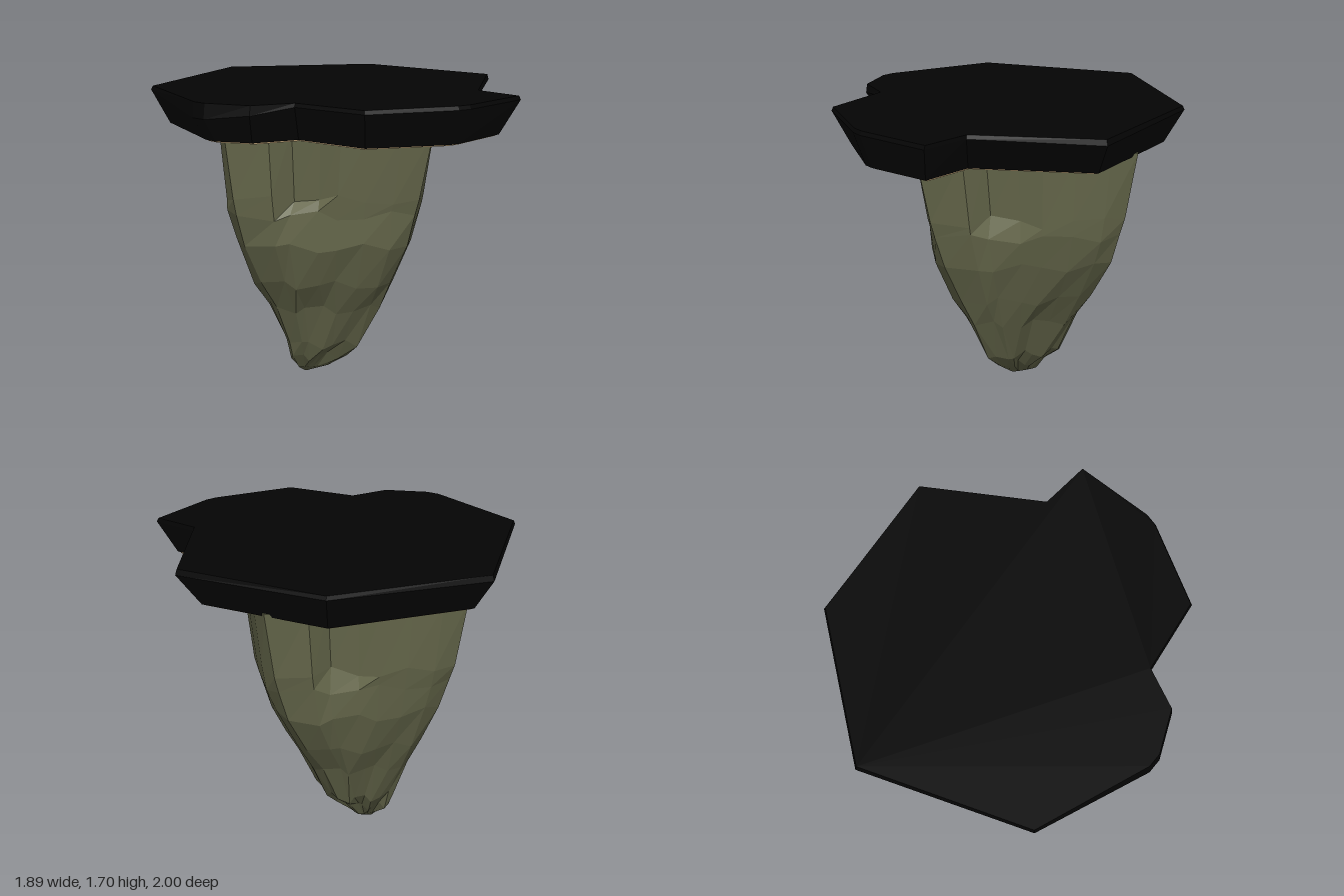
import * as THREE from 'three';

// Rings run counterclockwise seen from above, listed from bottom to top.
function loft(rings) {
  const n = rings[0].length;
  const index = [];
  for (let r = 0; r < rings.length - 1; r++) {
    for (let i = 0; i < n; i++) {
      const j = (i + 1) % n;
      const a = r * n + i, b = r * n + j;
      index.push(a, b, b + n, a, b + n, a + n);
    }
  }
  const cap = (ring, base, flip) => {
    const outline = ring.map(([x, , z]) => new THREE.Vector2(x, -z));
    for (const [a, b, c] of THREE.ShapeUtils.triangulateShape(outline, [])) {
      index.push(base + a, base + (flip ? c : b), base + (flip ? b : c));
    }
  };
  cap(rings[0], 0, true);
  cap(rings.at(-1), (rings.length - 1) * n, false);
  const indexed = new THREE.BufferGeometry();
  indexed.setAttribute('position', new THREE.Float32BufferAttribute(rings.flat(2), 3));
  indexed.setIndex(index);
  const geometry = indexed.toNonIndexed();
  geometry.computeVertexNormals();
  return geometry;
}

// Slab outline: rim x, z, then underside x, z, then rim height
const OUTLINE = [
  [0.09, -1.0, 0.08, -0.89, 1.67],
  [-0.755, -0.645, -0.69, -0.57, 1.68],
  [-0.95, -0.03, -0.87, -0.03, 1.62],
  [-0.945, 0.05, -0.87, 0.04, 1.62],
  [-0.835, 0.27, -0.77, 0.21, 1.65],
  [-0.62, 0.36, -0.54, 0.30, 1.68],
  [-0.54, 0.765, -0.47, 0.70, 1.68],
  [-0.11, 0.985, -0.10, 0.92, 1.68],
  [-0.04, 1.0, -0.04, 0.93, 1.68],
  [0.385, 0.975, 0.31, 0.90, 1.68],
  [0.39, 0.70, 0.31, 0.61, 1.68],
  [0.945, 0.31, 0.84, 0.24, 1.67],
  [0.805, -0.515, 0.72, -0.46, 1.68],
];

// Rock sections: height, front x z, left x z, back x z, right x z, swelling, groove depth
const SECTIONS = [
  [0.06, 0.01, -0.05, 0.07, -0.19, -0.02, -0.25, -0.15, -0.14, 0.10, 0],
  [0.15, 0.06, 0.06, 0.14, -0.18, 0.00, -0.345, -0.215, -0.12, 0.12, 0],
  [0.24, 0.06, 0.15, 0.25, -0.17, 0.01, -0.385, -0.245, -0.11, 0.14, 0],
  [0.48, 0.05, 0.31, 0.37, -0.16, 0.02, -0.48, -0.35, -0.10, 0.18, 0],
  [0.65, 0.04, 0.40, 0.50, -0.15, 0.03, -0.57, -0.47, -0.09, 0.17, 0],
  [0.88, 0.04, 0.52, 0.64, -0.14, 0.04, -0.68, -0.59, -0.08, 0.14, 0.02],
  [1.06, 0.03, 0.58, 0.70, -0.13, 0.04, -0.74, -0.65, -0.07, 0.12, 0.05],
  [1.15, 0.03, 0.61, 0.73, -0.13, 0.05, -0.775, -0.67, -0.07, 0.10, 0.16],
  [1.52, 0.03, 0.70, 0.80, -0.13, 0.05, -0.84, -0.725, -0.07, 0.07, 0.14],
];

// Across each of the four rock faces: positions, share of swelling, share of groove
const STEPS = [0, 0.22, 0.3, 0.46, 0.56, 0.7, 0.85];
const SWELL = [0, 0.65, 0.8, 0.95, 1, 0.95, 0.75];
const GROOVE = [0, 0, 1, 0.6, 0, 0, 0];
// Swelling of each face for the foot, the middle and the shoulder
const STRENGTH = [[1, 1, 1, 2.4], [1, 1, 1.1, 1.1], [1.3, 1, 1.4, 0.5]];

function rockRing([y, ...c], level) {
  const cx = (c[2] + c[6]) / 2, cz = (c[1] + c[5]) / 2;
  const strength = STRENGTH[Math.floor(level / 3)];
  const ring = [];
  for (let side = 0; side < 4; side++) {
    const a = side * 2, b = ((side + 1) % 4) * 2;
    STEPS.forEach((t, k) => {
      const x = c[a] + (c[b] - c[a]) * t, z = c[a + 1] + (c[b + 1] - c[a + 1]) * t;
      const inner = k > 0 && level > 0 && level < SECTIONS.length - 1;
      // small repeatable unevenness
      const wobble = inner ? Math.sin(side * 7.3 + k * 1.9 + level * 4.1) : 0;
      const f = 1 + SWELL[k] * c[8] * strength[side] - GROOVE[k] * c[9] + wobble * 0.01;
      ring.push([cx + (x - cx) * f, y + wobble * 0.03, cz + (z - cz) * f]);
    });
  }
  return ring;
}

export function createModel() {
  const flat = (name, color) => {
    const material = new THREE.MeshStandardMaterial({ color });
    material.name = name;
    return material;
  };
  const black = flat('black', 0x040404);
  const earth = flat('earth brown', 0xae956e);
  const stone = flat('olive stone', 0x67694c);

  const group = new THREE.Group();
  group.name = 'floatingIsland';
  const add = (name, geometry, material) => {
    const mesh = new THREE.Mesh(geometry, material);
    mesh.name = name;
    group.add(mesh);
  };

  // Slab with a bevelled side
  add('topSlab', loft([
    OUTLINE.map(([, , x, z]) => [x, 1.5, z]),
    OUTLINE.map(([x, z, , , y]) => [x, y, z]),
    OUTLINE.map(([x, z]) => [x * 0.99, 1.7, z * 0.99]),
  ]), black);

  // Thin earth layer under the slab
  add('earthUnderside', loft([1.492, 1.501].map((y) =>
    OUTLINE.map(([, , x, z]) => [x * 0.98, y, z * 0.98]))), earth);

  // Tapering rock, closed at the lowest point
  const rings = SECTIONS.map(rockRing);
  const tip = rings[0].map(([x, , z]) => [-0.05 + (x + 0.05) * 0.04, 0, -0.19 + (z + 0.19) * 0.04]);
  add('hangingRock', loft([tip, ...rings]), stone);

  return group;
}
